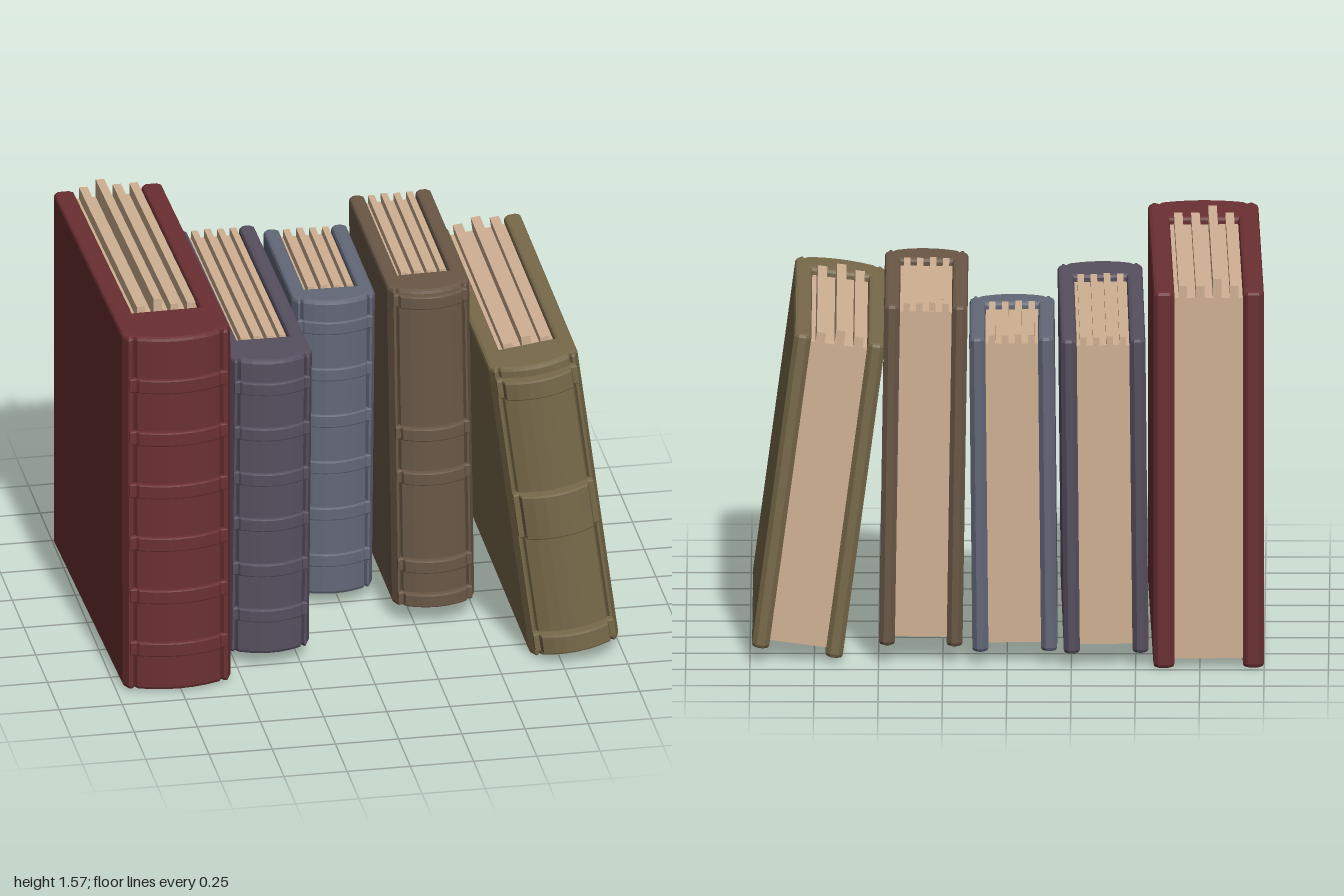
import * as THREE from 'three';

const paper = new THREE.MeshStandardMaterial({ color: 0xd0b193, flatShading: true });

// Extrude an outline given in (x, z) straight up, with chamfered ends
function extrudeUp(points, height, bevel) {
  const shape = new THREE.Shape(points.map(([x, z]) => new THREE.Vector2(x, -z)));
  const geo = new THREE.ExtrudeGeometry(shape, {
    depth: height - 2 * bevel, bevelThickness: bevel, bevelSize: bevel, bevelOffset: -bevel, bevelSegments: 2,
  });
  return geo.rotateX(-Math.PI / 2).translate(0, bevel, 0);
}

// Faceted rounded back, from -half to +half in x
function arc(half, z, bulge, n = 6) {
  return Array.from({ length: n + 1 }, (_, i) => {
    const u = (i / n) * 2 - 1;
    return [u * half, z + bulge * (1 - u * u)];
  });
}

const mirror = pts => pts.map(([x, z]) => [-x, z]).reverse();

// Evenly spaced band heights
const row = (first, step, count) => Array.from({ length: count }, (_, i) => first + i * step);

function add(parent, name, geometry, material) {
  const mesh = new THREE.Mesh(geometry, material);
  mesh.name = name;
  parent.add(mesh);
  return mesh;
}

// back and front are the cover ends in z; pageFront is where the pages meet the spine
function makeBook(name, color, { w, h, back, front, pageFront, bandOut, bandHeight, bands, sheets, rise }) {
  const book = new THREE.Group();
  book.name = name;
  const cloth = new THREE.MeshStandardMaterial({ color, flatShading: true });
  const hw = w / 2, inner = hw * 0.62, c = 0.018, bulge = 0.033;

  // Cover: two boards joined by a solid rounded spine, open at the back
  const left = [
    [-inner, pageFront], [-inner, back + c], [-inner - c, back], [-hw + c, back], [-hw, back + c],
    [-hw, front - 0.04], [-hw + c, front], [-hw * 0.84, front], [-hw * 0.8, front - 0.012],
  ];
  const outline = [...left, ...arc(hw * 0.76, front + 0.005, bulge), ...mirror(left)];
  add(book, 'cover', extrudeUp(outline, h, 0.015), cloth);

  // Raised bands wrapped over the spine
  bands.forEach((y, i) => {
    const height = bandHeight(i), z = front + bandOut * 0.4;
    const side = [[-hw * 0.9, front - 0.03], [-hw * 0.9, z], [-hw * 0.78, z]];
    const band = [...side, ...arc(hw * 0.74, z + bandOut * 0.5, bulge), ...mirror(side)];
    add(book, 'spineBand', extrudeUp(band, height, 0.006), cloth).position.y = y - height / 2;
  });

  // Page block, set in from the cover edges
  const pageBack = back + 0.025, length = pageFront - pageBack, mid = (pageFront + pageBack) / 2;
  const low = 0.035, top = h - 0.03;
  const block = new THREE.BoxGeometry(inner * 2, top - low, length);
  add(book, 'pageBlock', block, paper).position.set(0, (top + low) / 2, mid);

  // Loose sheets standing above the block, the second one tallest
  const pitch = (inner * 2) / sheets;
  for (let i = 0; i < sheets; i++) {
    const sheetTop = h + rise * (i === 1 ? 1 : 0.4), height = sheetTop - top + 0.02;
    const sheet = new THREE.BoxGeometry(pitch * 0.5, height, length - 0.002);
    add(book, 'looseSheet', sheet, paper).position.set((i + 0.5) * pitch - inner, sheetTop - height / 2, mid);
  }
  return book;
}

export function createModel() {
  const model = new THREE.Group();
  model.name = 'rowOfBooks';

  // Tall red book at the end of the row
  const red = makeBook('redBook', 0x6b3032, {
    w: 0.43, h: 1.515, back: -0.73, front: 0.64, pageFront: 0.41, bandOut: 0.025,
    bandHeight: () => 0.06, bands: row(0.18, 0.226, 6), sheets: 4, rise: 0.045,
  });
  red.position.set(-0.77, 0.012, 0);
  red.rotation.set(-0.006, 0.02, 0);

  // Purple book
  const purple = makeBook('purpleBook', 0x574f5f, {
    w: 0.33, h: 1.265, back: -0.71, front: 0.48, pageFront: 0.3, bandOut: 0.022,
    bandHeight: () => 0.055, bands: row(0.17, 0.195, 6), sheets: 4, rise: 0.005,
  });
  purple.position.set(-0.376, 0.06, 0);
  purple.rotation.set(0, 0.014, -0.01);

  // Small blue book
  const blue = makeBook('blueBook', 0x636879, {
    w: 0.33, h: 1.265, back: -0.665, front: -0.01, pageFront: -0.11, bandOut: 0.015,
    bandHeight: () => 0.055, bands: row(0.15, 0.2, 6), sheets: 4, rise: 0.006,
  });
  blue.position.set(-0.03, 0.055, 0);
  blue.rotation.z = -0.01;

  // Brown book
  const brown = makeBook('brownBook', 0x6a5847, {
    w: 0.325, h: 1.37, back: -0.655, front: 0.215, pageFront: 0.08, bandOut: 0.035,
    bandHeight: () => 0.055, bands: [0.04, 0.185, 0.565, 0.755, 1.325], sheets: 4, rise: 0.006,
  });
  brown.position.set(0.336, 0.075, 0);
  brown.rotation.z = 0.015;

  // Olive book leaning on the others, with one wide band between two narrow ones
  const olive = makeBook('oliveBook', 0x786a4a, {
    w: 0.356, h: 1.272, back: -0.64, front: 0.625, pageFront: 0.46, bandOut: 0.06,
    bandHeight: i => (i === 1 ? 0.19 : 0.08), bands: row(0.07, 0.56, 3), sheets: 3, rise: 0.028,
  });
  olive.position.set(0.8175, 0.036, 0);
  olive.rotation.set(0.01, 0, 0.132);

  model.add(red, purple, blue, brown, olive);
  return model;
}
